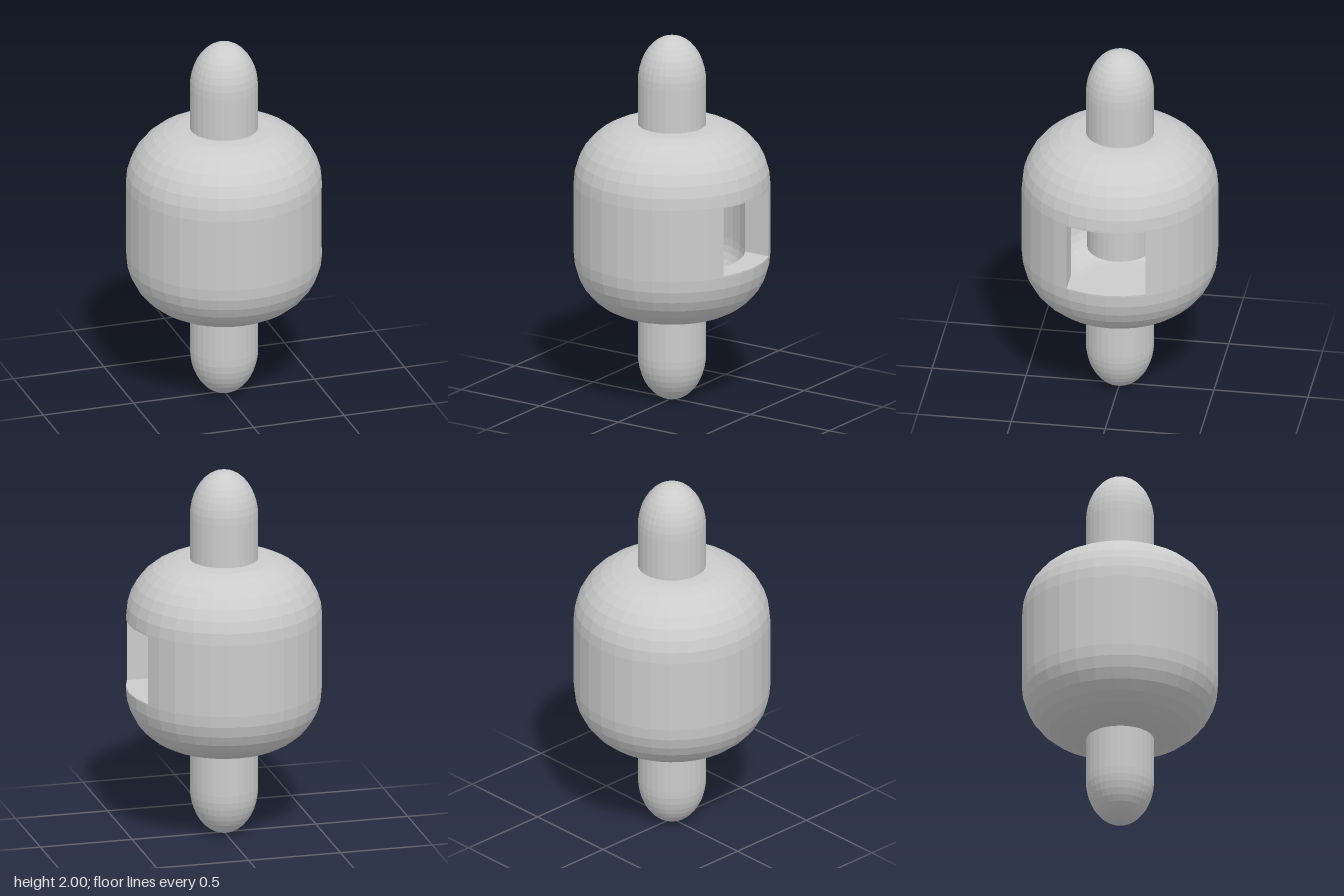
import * as THREE from 'three';

const SIDES = 32;
const OUTER = 0.517, INNER = 0.385;      // shell radii
const CORNER = 0.197;                    // centre of the rounded shoulder, in both r and y
const WIN_Y = 0.1875, WIN_Z = 0.21;      // window half height and half width

const material = new THREE.MeshStandardMaterial({ color: 0xcccccc, flatShading: true });

function part(name, geometry) {
  const mesh = new THREE.Mesh(geometry, material);
  mesh.name = name;
  return mesh;
}

// Quarter ellipse from the side (r + a, y) to the top (r, y + b)
function quarter(r, y, a, b, steps) {
  const pts = [];
  for (let i = 0; i <= steps; i++) {
    const t = (i / steps) * Math.PI / 2;
    pts.push(new THREE.Vector2(i === steps ? r : r + a * Math.cos(t), y + b * Math.sin(t)));
  }
  return pts;
}

// Points of a ring, with the window gap cut parallel to x
function openArc(radius) {
  const corner = (k) => {
    const a = (k / SIDES) * Math.PI * 2;
    return new THREE.Vector2(radius * Math.cos(a), radius * Math.sin(a));
  };
  let first = 1;
  while (corner(first).y < WIN_Z) first++;
  const p = corner(first - 1), q = corner(first);
  const start = p.clone().lerp(q, (WIN_Z - p.y) / (q.y - p.y));
  const pts = [start];
  for (let k = first; k <= SIDES - first; k++) pts.push(corner(k));
  pts.push(new THREE.Vector2(start.x, -start.y));
  return pts;
}

export function createModel() {
  const model = new THREE.Group();
  model.name = 'model';

  // Straight middle wall of the hollow body, open at the window
  const ring = new THREE.Shape([...openArc(OUTER), ...openArc(INNER).reverse()]);
  const wall = new THREE.ExtrudeGeometry(ring, { depth: WIN_Y * 2, bevelEnabled: false });
  wall.translate(0, 0, -WIN_Y).rotateX(-Math.PI / 2);
  const bodyWall = part('bodyWall', wall);
  bodyWall.position.y = 1;
  model.add(bodyWall);

  // Rounded shell half and domed pin, as closed profiles
  const a = OUTER - CORNER, b = INNER - CORNER;
  const shell = new THREE.LatheGeometry([
    new THREE.Vector2(INNER, WIN_Y),
    new THREE.Vector2(OUTER, WIN_Y),
    ...quarter(CORNER, CORNER, a, a, 8),
    new THREE.Vector2(0, OUTER),
    new THREE.Vector2(0, INNER),
    ...quarter(CORNER, CORNER, b, b, 8).reverse(),
    new THREE.Vector2(INNER, WIN_Y),
  ], SIDES);
  const pin = new THREE.LatheGeometry([
    new THREE.Vector2(0, 0.45),
    new THREE.Vector2(0.18, 0.45),
    ...quarter(0, 0.75, 0.18, 0.25, 10),
  ], SIDES);

  // The lower half mirrors the upper half
  for (const [side, turn] of [['upper', 0], ['lower', Math.PI]]) {
    const half = new THREE.Group();
    half.name = side + 'Half';
    half.add(part(side + 'Shell', shell), part(side + 'Pin', pin));
    half.rotation.x = turn;
    half.position.y = 1;
    model.add(half);
  }

  // Small core seen through the window
  const core = part('core', new THREE.CylinderGeometry(0.173, 0.173, 0.346, SIDES));
  core.position.y = 1;
  model.add(core);

  return model;
}
